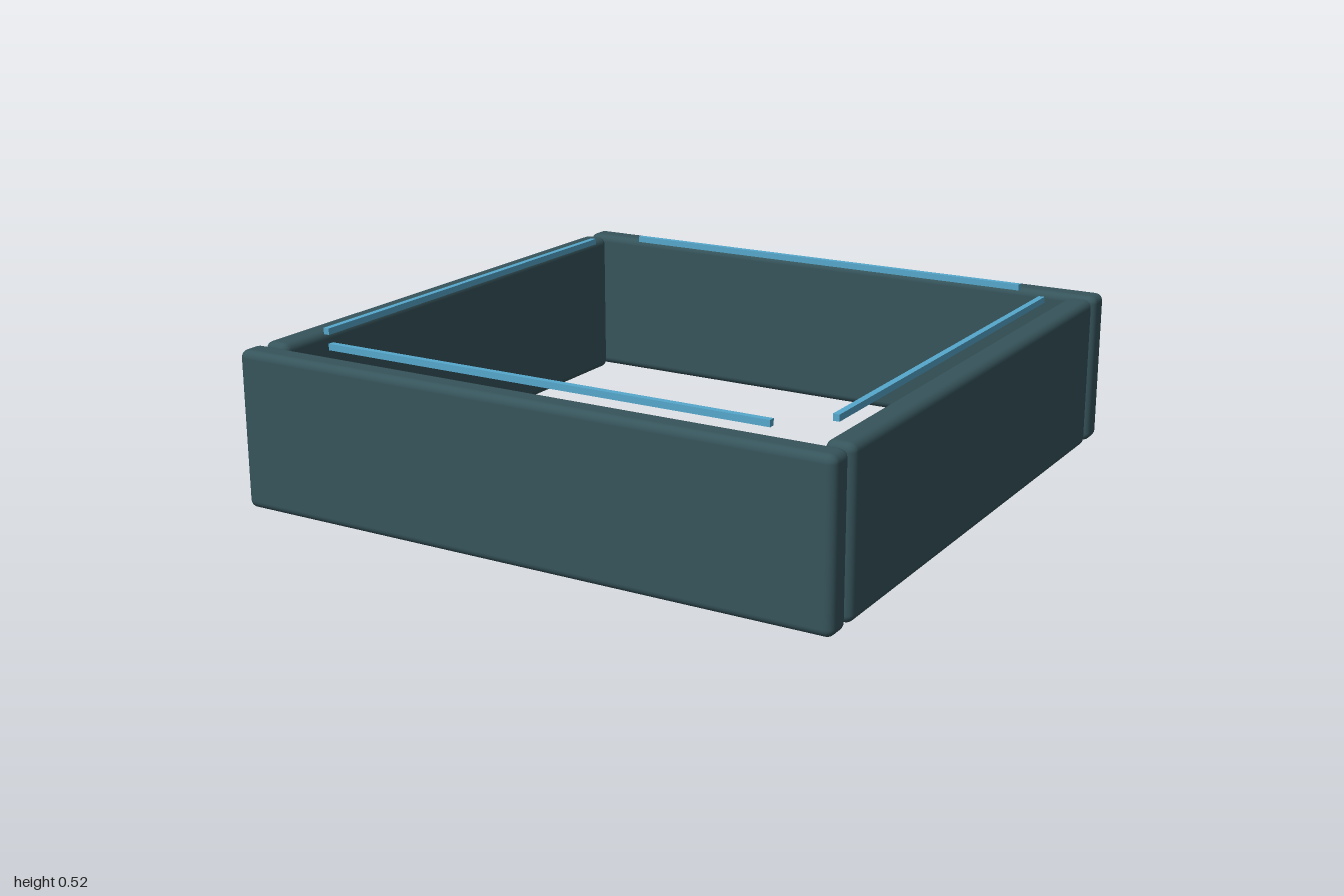
import * as THREE from 'three';
import { RoundedBoxGeometry } from 'three/addons/geometries/RoundedBoxGeometry.js';

export function createModel() {
  const group = new THREE.Group();
  group.name = 'squareFrame';
  const wallMaterial = new THREE.MeshStandardMaterial({ color: 0x36545b });
  wallMaterial.name = 'darkTeal';
  const stripMaterial = new THREE.MeshStandardMaterial({ color: 0x55a8cc });
  stripMaterial.name = 'lightBlue';

  const add = (name, geometry, material, x, y, z) => {
    const mesh = new THREE.Mesh(geometry, material);
    mesh.name = name;
    mesh.position.set(x, y, z);
    group.add(mesh);
  };

  const height = 0.5, thickness = 0.09, radius = 0.025;
  const longWall = new RoundedBoxGeometry(1.99, height, thickness, 3, radius);
  const shortWall = new RoundedBoxGeometry(thickness, height, 1.78, 3, radius);
  const stripX = new THREE.BoxGeometry(1.49, 0.02, 0.02);
  const stripZ = new THREE.BoxGeometry(0.02, 0.02, 1.49);

  for (const s of [1, -1]) {
    // Full-width walls at front and back, shorter walls fitted between them
    add(s > 0 ? 'frontWall' : 'backWall', longWall, wallMaterial, 0, height / 2, s * 0.955);
    add(s > 0 ? 'leftWall' : 'rightWall', shortWall, wallMaterial, s * 0.95, height / 2, 0);
    // Thin strips floating just inside the rim
    add(s > 0 ? 'frontStrip' : 'backStrip', stripX, stripMaterial, 0, 0.515, s * 0.87);
    add(s > 0 ? 'leftStrip' : 'rightStrip', stripZ, stripMaterial, s * 0.87, 0.515, 0);
  }
  return group;
}
